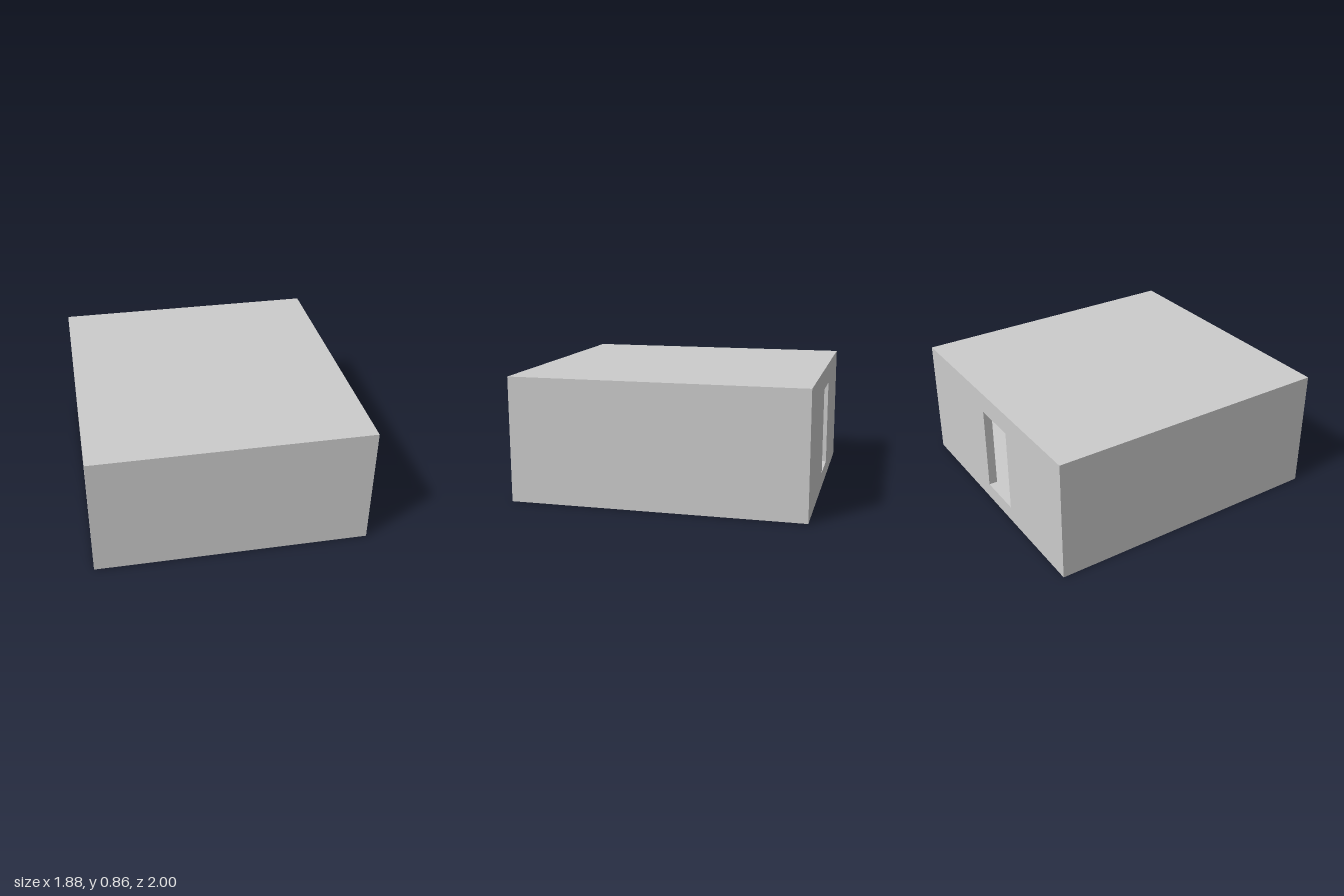
import * as THREE from 'three';

const W = 1.88, H = 0.855, D = 2;          // outer size
const SIDE = 0.03, END = 0.06;             // side and end wall thickness
const FLOOR = 0.11, ROOF = 0.03;           // slab thicknesses
const CEILING = H - ROOF;

// Corner points of an upright rectangle
function rectPoints(x0, y0, x1, y1) {
  return [[x0, y0], [x1, y0], [x1, y1], [x0, y1]].map(([x, y]) => new THREE.Vector2(x, y));
}

// Rectangular slab facing z, with an optional rectangular opening
function panel(name, outer, opening, z, depth, material) {
  const shape = new THREE.Shape(rectPoints(...outer));
  if (opening) shape.holes.push(new THREE.Path(rectPoints(...opening).reverse()));
  const geometry = new THREE.ExtrudeGeometry(shape, { depth, bevelEnabled: false });
  const mesh = new THREE.Mesh(geometry, material);
  mesh.name = name;
  mesh.position.z = z;
  return mesh;
}

export function createModel() {
  const group = new THREE.Group();
  group.name = 'building';
  const material = new THREE.MeshStandardMaterial({ color: 0xcccccc });
  const outline = [-W / 2, 0, W / 2, H];
  const inner = [-W / 2 + SIDE, FLOOR, W / 2 - SIDE, CEILING];

  // Floor, roof and side walls form one continuous sleeve
  group.add(panel('floorRoofAndSideWalls', outline, inner, -D / 2 + END, D - 2 * END, material));

  // End walls; the back one has the doorway
  group.add(panel('frontWall', outline, null, D / 2 - END, END, material));
  group.add(panel('backWall', outline, [-0.23, FLOOR, 0.1, 0.71], -D / 2, END, material));

  // Inner partition, in two pieces either side of a full-height gap
  group.add(panel('partitionRight', [inner[0], FLOOR, -0.77, CEILING], null, -0.33, 0.04, material));
  group.add(panel('partitionLeft', [-0.44, FLOOR, inner[2], CEILING], null, -0.33, 0.04, material));

  return group;
}
